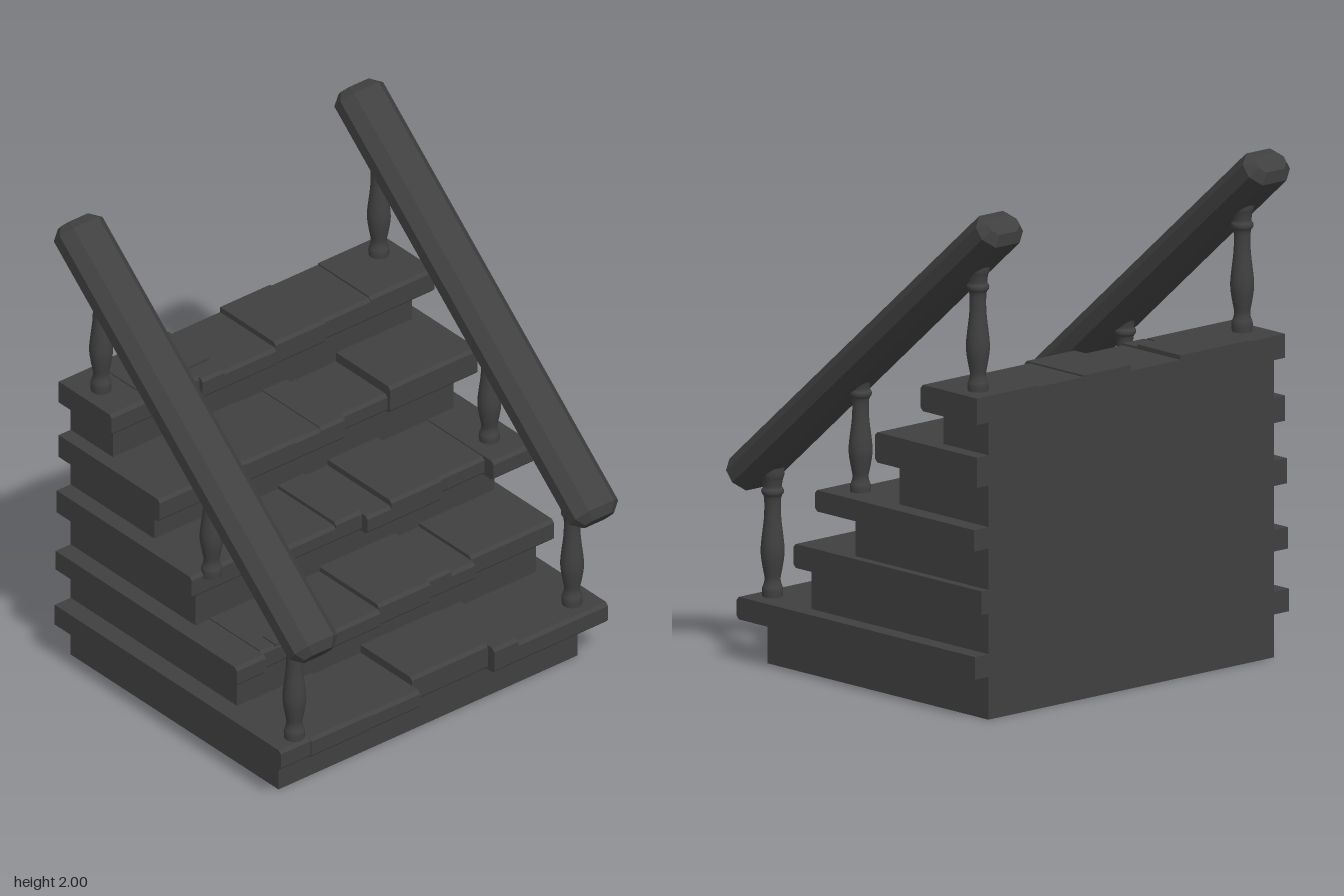
import * as THREE from 'three';

const BACK = -0.705;

// Each step: riser front, riser bottom/top, and planks as [x start, front z, top y], ending at `end`.
const STEPS = [
  { riser: 0.55, y0: 0, y1: 0.17, end: 0.82, planks: [
    [-0.83, 0.66, 0.26], [-0.68, 0.665, 0.258], [-0.38, 0.66, 0.25], [-0.13, 0.61, 0.285], [0.25, 0.65, 0.28], [0.37, 0.65, 0.26]] },
  { riser: 0.3, y0: 0.24, y1: 0.42, end: 0.785, planks: [
    [-0.825, 0.39, 0.505], [-0.68, 0.365, 0.51], [-0.37, 0.42, 0.5], [-0.13, 0.41, 0.52], [0.13, 0.39, 0.52], [0.25, 0.39, 0.5], [0.37, 0.365, 0.515]] },
  { riser: 0.05, y0: 0.49, y1: 0.68, end: 0.825, planks: [
    [-0.82, 0.11, 0.78], [-0.38, 0.15, 0.755], [-0.13, 0.15, 0.77], [0, 0.185, 0.76], [0.12, 0.185, 0.785], [0.37, 0.145, 0.76], [0.62, 0.2, 0.765]] },
  { riser: -0.2, y0: 0.74, y1: 0.93, end: 0.81, planks: [
    [-0.81, -0.095, 1.03], [-0.5, -0.095, 1.035], [-0.38, -0.095, 1.03], [-0.13, -0.095, 1.025], [0, -0.095, 1.03], [0.12, -0.14, 1.01], [0.37, -0.125, 1.05]] },
  { riser: -0.45, y0: 1.0, y1: 1.18, end: 0.81, planks: [
    [-0.81, -0.385, 1.275], [-0.37, -0.365, 1.27], [-0.26, -0.365, 1.262], [0, -0.37, 1.285], [0.25, -0.385, 1.278], [0.49, -0.385, 1.285]] },
];

export function createModel() {
  const model = new THREE.Group();
  model.name = 'staircase';
  const flat = new THREE.MeshStandardMaterial({ color: 0x404040, flatShading: true });
  const smooth = new THREE.MeshStandardMaterial({ color: 0x404040 });

  const add = (name, geometry, material, x = 0, y = 0, z = 0) => {
    const mesh = new THREE.Mesh(geometry, material);
    mesh.name = name;
    mesh.position.set(x, y, z);
    model.add(mesh);
    return mesh;
  };

  // Plank: side profile with a chamfered nose, extruded across the step
  const plankGeometry = (width, front, bottom, top) => {
    const c = 0.013;
    const profile = new THREE.Shape([
      [BACK, bottom], [front - c, bottom], [front, bottom + c],
      [front, top - c], [front - c, top], [BACK, top],
    ].map(([z, y]) => new THREE.Vector2(z, y)));
    return new THREE.ExtrudeGeometry(profile, { depth: width, bevelEnabled: false }).rotateY(-Math.PI / 2);
  };

  // Solid risers and uneven plank treads
  STEPS.forEach(({ riser, y0, y1, end, planks }, i) => {
    add(`riser${i + 1}`, new THREE.BoxGeometry(1.5, y1 - y0, riser - BACK), flat, 0, (y0 + y1) / 2, (riser + BACK) / 2);
    planks.forEach(([x, front, top], j) => {
      const right = j + 1 < planks.length ? planks[j + 1][0] : end;
      add(`treadPlank${i + 1}_${j + 1}`, plankGeometry(right - x, front, y1, top), flat, right);
    });
  });

  // Thin raised boards on the top step and the second step
  add('raisedBoard', new THREE.BoxGeometry(0.36, 0.012, 0.245), flat, -0.44, 1.274, -0.582);
  add('raisedBoard', new THREE.BoxGeometry(0.12, 0.012, 0.075), flat, -0.55, 0.51, 0.325);

  // Turned baluster
  const baluster = new THREE.LatheGeometry(new THREE.SplineCurve([
    [0.04, 0], [0.041, 0.035], [0.036, 0.05], [0.031, 0.075], [0.037, 0.11], [0.045, 0.16], [0.046, 0.2],
    [0.041, 0.25], [0.034, 0.31], [0.032, 0.36], [0.034, 0.4], [0.043, 0.415],
    [0.043, 0.43], [0.036, 0.44], [0.04, 0.47], [0.046, 0.49], [0.046, 0.52],
  ].map(([r, y]) => new THREE.Vector2(r, y))).getPoints(40), 16);

  // Handrail: chamfered beam with bevelled ends
  const length = 1.94, w = 0.1075, h = 0.0725, c = 0.045, bevel = 0.035;
  const section = new THREE.Shape([
    [w - c, -h], [w, -h + c], [w, h - c], [w - c, h],
    [-w + c, h], [-w, h - c], [-w, -h + c], [-w + c, -h],
  ].map(([x, y]) => new THREE.Vector2(x, y)));
  const rail = new THREE.ExtrudeGeometry(section, {
    depth: length - 2 * bevel, bevelSize: bevel, bevelThickness: bevel, bevelOffset: -bevel, bevelSegments: 1,
  }).translate(0, 0, bevel - length / 2);

  for (const [side, x, z] of [['right', -0.727, 0.0225], ['left', 0.722, -0.0275]]) {
    add(`${side}Handrail`, rail, flat, x, 1.34, z).rotation.x = THREE.MathUtils.degToRad(40.6);
    [[0.587, 0.255], [0.087, 0.755], [-0.58, 1.275]].forEach(([bz, y], i) => {
      const post = add(`${side}Baluster${i + 1}`, baluster, smooth, x + (x < 0 ? 0.007 : -0.007), y, bz + z);
      if (i === 1) post.scale.y = 0.95;
    });
  }

  return model;
}
